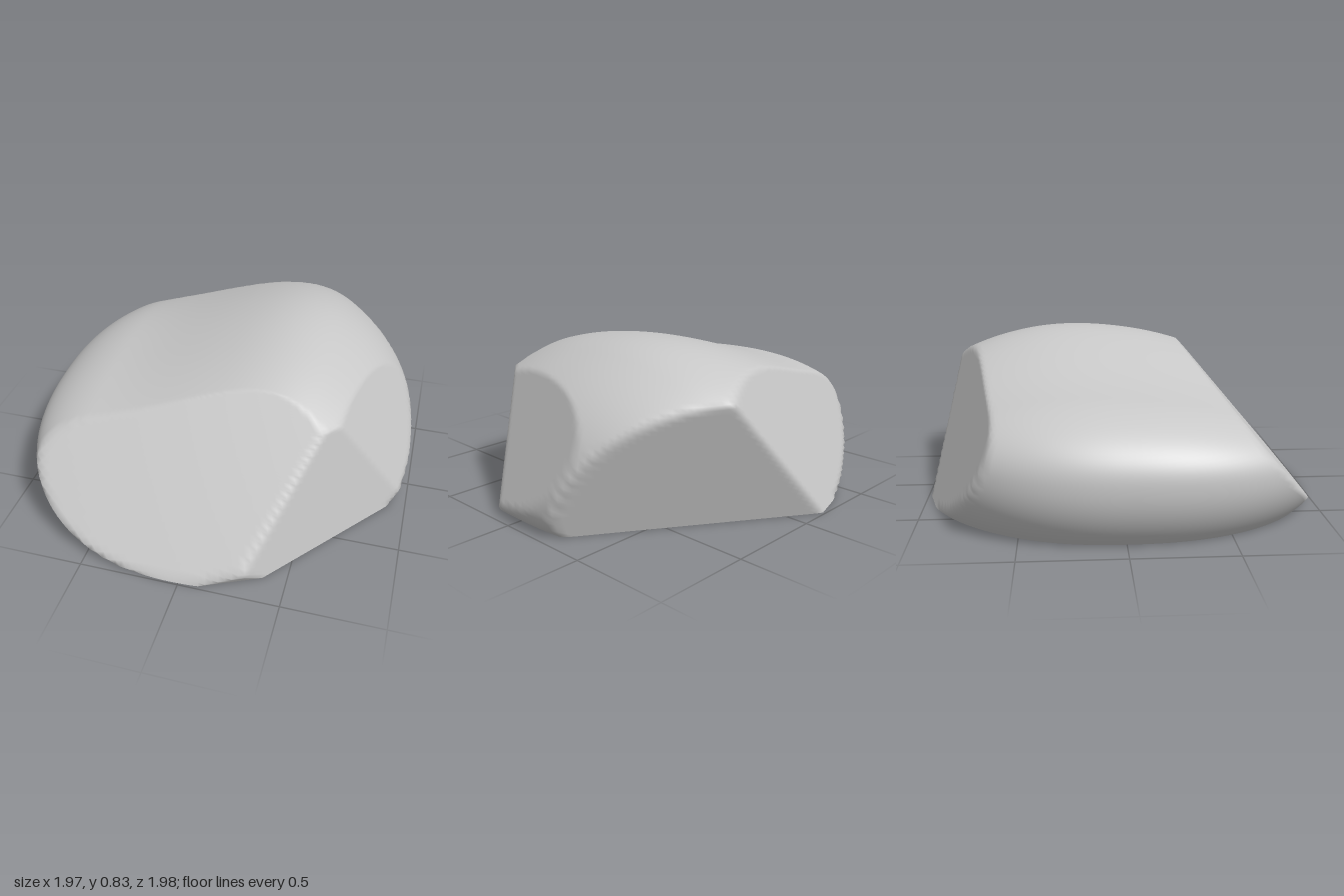
import * as THREE from 'three';

const { smoothstep } = THREE.MathUtils;

// Flat broken faces: outward normal and distance from the origin
const facets = [
  { n: [0, 0.65, 0.76], h: 0.76 },           // sloping front
  { n: [0.36, -0.5, 0.79], h: 0.812 },       // undercut front corner
  { n: [0.77, 0.15, 0.62], h: 0.824 },       // front left side
  { n: [0.893, 0.406, 0.193], h: 0.9 },      // left side
  { n: [0.526, -0.31, -0.793], h: 0.7 },     // overhanging back left
  { n: [-0.247, 0.382, -0.891], h: 0.92 },   // back right
];

// Worn, rounded body: low on one side, humped on the other
function insideBody(x, y, z) {
  const hump = smoothstep(x, -0.6, 0.52);
  const rise = y - 0.3 + 0.18 * smoothstep(x, -0.8, 1);
  const droop = 1 - 0.17 * Math.max(0, z + 0.5) ** 2;
  const lift = rise > 0
    ? (rise / ((0.4 + 0.32 * hump) * droop)) ** 2.4
    : (rise / (0.56 - 0.24 * hump)) ** 2;
  const depth = z > 0 ? 1.14 : 1.2 + 0.2 * Math.min(0, x);
  return (Math.abs(x) / 0.985) ** 2.3 + (Math.abs(z) / depth) ** 2.3 + lift < 1;
}

function inside(x, y, z) {
  return insideBody(x, y, z) &&
    facets.every(({ n, h }) => n[0] * x + n[1] * y + n[2] * z < h);
}

// Distance from (0, y0, 0) to the surface along a direction
function reach(y0, dx, dy, dz) {
  let lo = 0, hi = 1.8;
  for (let k = 0; k < 30; k++) {
    const t = (lo + hi) / 2;
    if (inside(dx * t, y0 + dy * t, dz * t)) lo = t; else hi = t;
  }
  return lo;
}

function makeGeometry(positions, index) {
  const geometry = new THREE.BufferGeometry();
  geometry.setAttribute('position', new THREE.Float32BufferAttribute(positions, 3));
  geometry.setIndex(index);
  geometry.computeVertexNormals();
  return geometry;
}

export function createModel() {
  const group = new THREE.Group();
  group.name = 'rock';
  const stone = new THREE.MeshStandardMaterial({ color: 0xc8c8c8 });
  stone.name = 'grey stone';

  const around = 192, rings = 90, core = 0.3;
  const angles = Array.from({ length: around }, (_, j) => (j / around) * Math.PI * 2);

  // Outline where the rock meets the ground
  const rim = angles.map(a => reach(0, Math.sin(a), 0, Math.cos(a)));

  // Rock surface: rings from the crown down to the ground outline
  const top = [0, core + reach(core, 0, 1, 0), 0], topIndex = [];
  for (let i = 1; i <= rings; i++) {
    angles.forEach((a, j) => {
      const sx = Math.sin(a), cz = Math.cos(a);
      if (i === rings) {
        top.push(sx * rim[j], 0, cz * rim[j]);
        return;
      }
      const tilt = (i / rings) * (Math.PI / 2 + Math.atan2(core, rim[j]));
      const s = Math.sin(tilt), c = Math.cos(tilt);
      const r = reach(core, sx * s, c, cz * s);
      top.push(sx * s * r, core + c * r, cz * s * r);
    });
  }
  const at = (i, j) => 1 + (i - 1) * around + (j % around);
  for (let j = 0; j < around; j++) {
    topIndex.push(0, at(1, j), at(1, j + 1));
    for (let i = 1; i < rings; i++) {
      topIndex.push(at(i, j), at(i + 1, j), at(i + 1, j + 1));
      topIndex.push(at(i, j), at(i + 1, j + 1), at(i, j + 1));
    }
  }
  const surface = new THREE.Mesh(makeGeometry(top, topIndex), stone);
  surface.name = 'rockSurface';
  group.add(surface);

  // Flat underside
  const base = [0, 0, 0], baseIndex = [];
  angles.forEach((a, j) => {
    base.push(Math.sin(a) * rim[j], 0, Math.cos(a) * rim[j]);
    baseIndex.push(0, 1 + ((j + 1) % around), 1 + j);
  });
  const underside = new THREE.Mesh(makeGeometry(base, baseIndex), stone);
  underside.name = 'underside';
  group.add(underside);

  return group;
}
